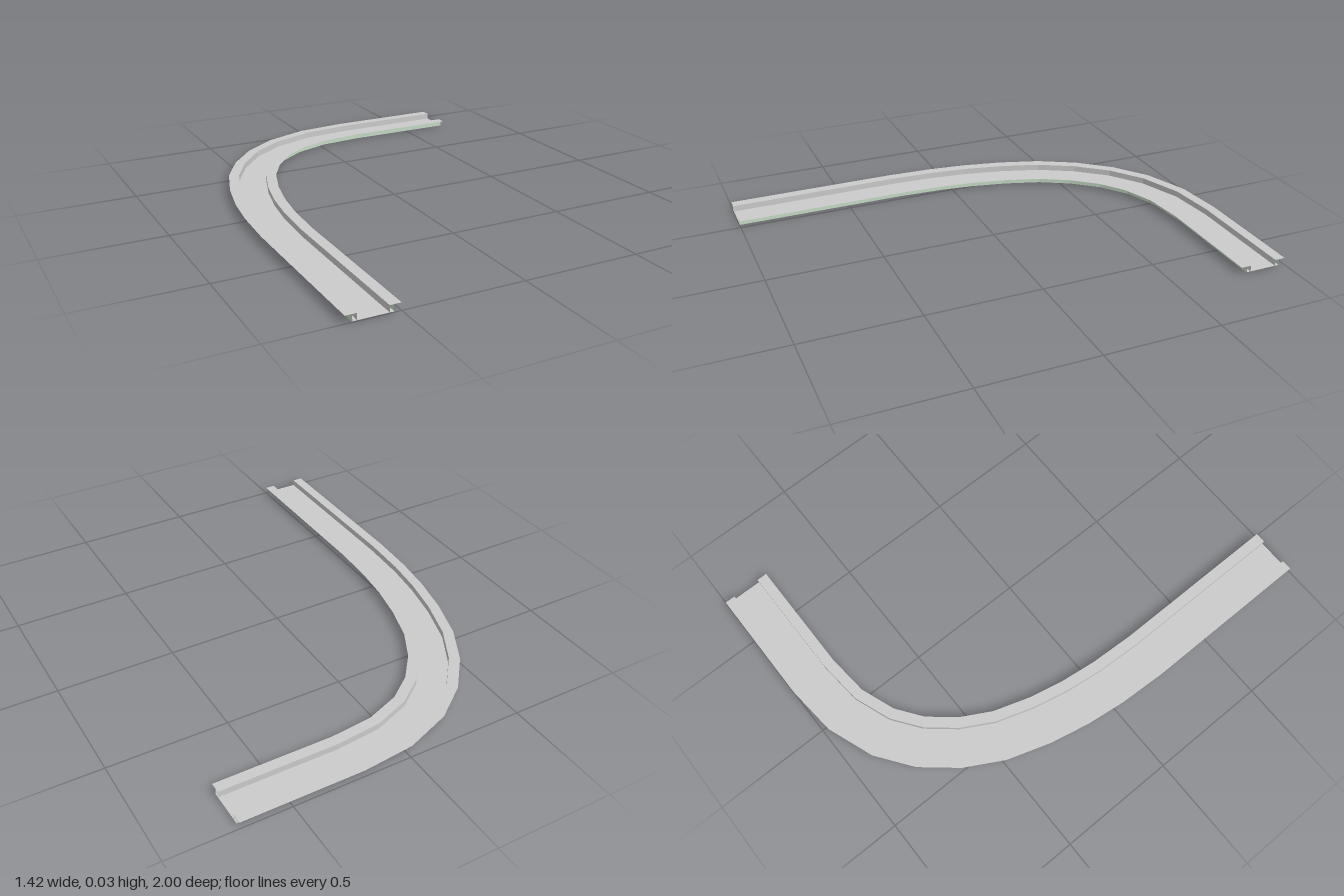
import * as THREE from 'three';

// Centre line on the ground (x, z): straight leg, bend, straight leg
const PATH = [
  [-0.605, 1], [-0.605, 0.25], [-0.595, 0.05], [-0.575, -0.11], [-0.54, -0.275],
  [-0.485, -0.445], [-0.405, -0.59], [-0.3, -0.715], [-0.17, -0.81],
  [0.005, -0.875], [0.205, -0.895], [0.71, -0.895],
].map(([x, z]) => new THREE.Vector2(x, z));

const HEIGHT = 0.03;
const FLOOR_Y = 0.003;

// Mitred sideways vector at each path point, positive toward the outside of the bend
const SIDES = PATH.map((p, i) => {
  const normal = (a, b) => {
    const d = b.clone().sub(a).normalize();
    return new THREE.Vector2(d.y, -d.x);
  };
  const n0 = normal(PATH[Math.max(i - 1, 0)], PATH[Math.max(i, 1)]);
  const last = PATH.length - 1;
  const n1 = normal(PATH[Math.min(i, last - 1)], PATH[Math.min(i + 1, last)]);
  const m = n0.clone().add(n1).normalize();
  return m.divideScalar(m.dot(n0));
});

// Sweeps an open cross-section of [offset, height] points along the path
function sweep(name, profile, material) {
  const positions = [];
  const point = (i, [o, y]) => [PATH[i].x + SIDES[i].x * o, y, PATH[i].y + SIDES[i].y * o];
  for (let i = 0; i < PATH.length - 1; i++) {
    for (let j = 0; j < profile.length - 1; j++) {
      const a = point(i, profile[j]);
      const b = point(i, profile[j + 1]);
      const c = point(i + 1, profile[j + 1]);
      const d = point(i + 1, profile[j]);
      positions.push(...a, ...c, ...b, ...a, ...d, ...c);
    }
  }
  const geometry = new THREE.BufferGeometry();
  geometry.setAttribute('position', new THREE.Float32BufferAttribute(positions, 3));
  geometry.computeVertexNormals();
  const mesh = new THREE.Mesh(geometry, material);
  mesh.name = name;
  return mesh;
}

export function createModel() {
  const group = new THREE.Group();
  group.name = 'curvedChannel';
  const grey = new THREE.MeshStandardMaterial({ color: 0xcccccc, side: THREE.DoubleSide, flatShading: true });
  const green = new THREE.MeshStandardMaterial({ color: 0xc4dac4, side: THREE.DoubleSide, flatShading: true });

  // Channel floor, reaching under both side walls
  group.add(sweep('floor', [[0.078, FLOOR_Y], [-0.078, FLOOR_Y]], grey));

  // Each side: inner wall, outer wall and a flat flange on top
  for (const [side, label] of [[1, 'outer'], [-1, 'inner']]) {
    const rail = new THREE.Group();
    rail.name = `${label}Rail`;
    rail.add(
      sweep('channelWall', [[side * 0.06, FLOOR_Y], [side * 0.06, HEIGHT]], grey),
      sweep('outsideWall', [[side * 0.078, 0], [side * 0.078, HEIGHT]], green),
      sweep('topFlange', [[0.105, HEIGHT], [0.06, HEIGHT]].map(([o, y]) => [side * o, y]), grey),
    );
    group.add(rail);
  }
  return group;
}
